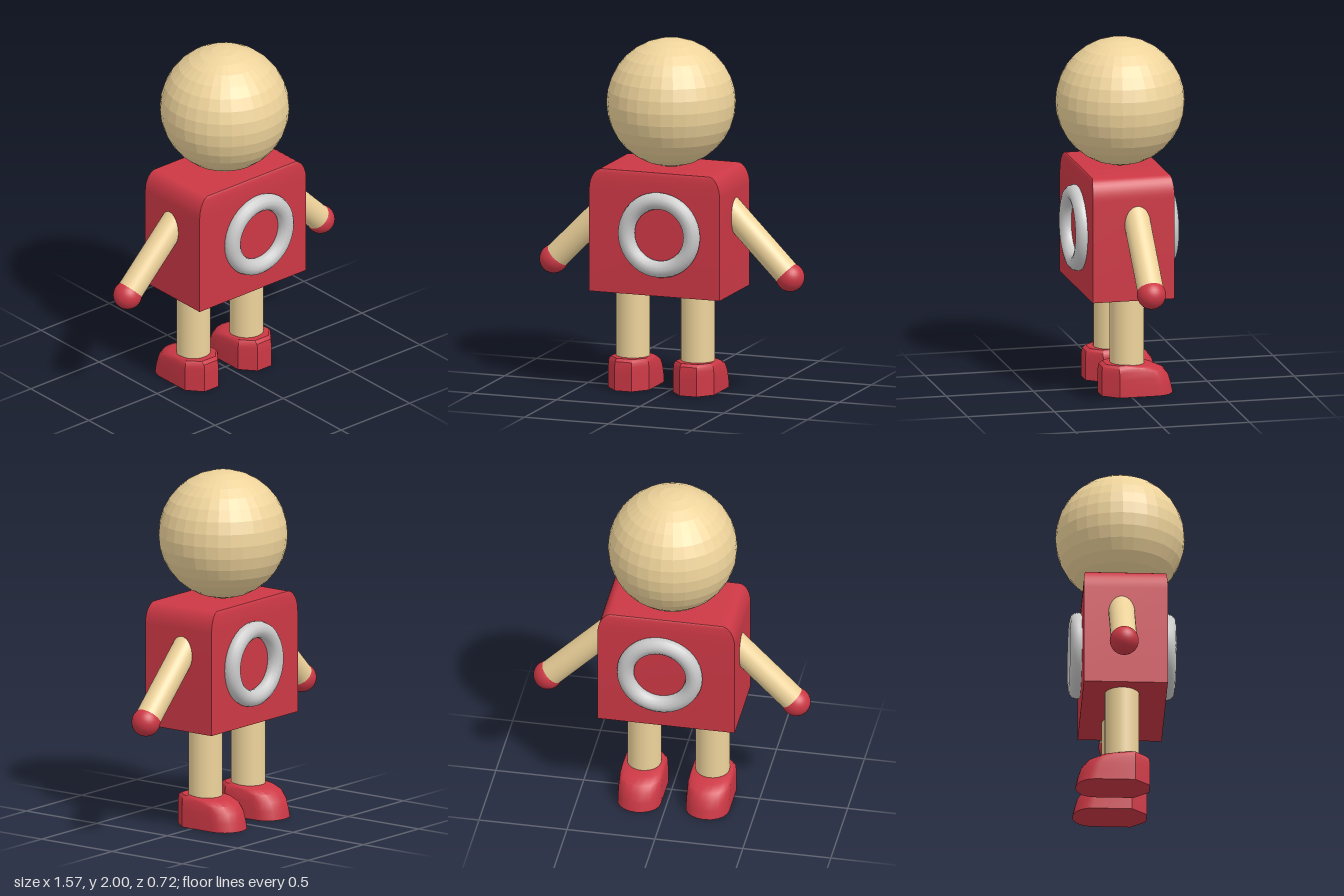
import * as THREE from 'three';
import { toCreasedNormals } from 'three/addons/utils/BufferGeometryUtils.js';

const tan = new THREE.MeshStandardMaterial({ color: 0xeed39b });
const tanFlat = new THREE.MeshStandardMaterial({ color: 0xeed39b, flatShading: true });
const red = new THREE.MeshStandardMaterial({ color: 0xcc3845 });
const grey = new THREE.MeshStandardMaterial({ color: 0xcccccc });

function add(parent, name, geometry, material, x = 0, y = 0, z = 0) {
  const mesh = new THREE.Mesh(geometry, material);
  mesh.name = name;
  mesh.position.set(x, y, z);
  parent.add(mesh);
  return mesh;
}

// Closed solid from rings of [x, z] points stacked from bottom to top
function loft(rings, crease) {
  const n = rings[0].points.length, pos = [], index = [];
  for (const { y, points } of rings) for (const [x, z] of points) pos.push(x, y, z);
  for (let i = 0; i < rings.length - 1; i++) {
    for (let j = 0; j < n; j++) {
      const a = i * n + j, b = i * n + (j + 1) % n;
      index.push(a, a + n, b, b, a + n, b + n);
    }
  }
  const last = (rings.length - 1) * n;
  for (let j = 1; j < n - 1; j++) {
    index.push(0, j, j + 1);
    index.push(last, last + j + 1, last + j);
  }
  const g = new THREE.BufferGeometry();
  g.setAttribute('position', new THREE.Float32BufferAttribute(pos, 3));
  g.setIndex(index);
  return toCreasedNormals(g, crease);
}

// Box torso whose top corners round over
function torsoGeometry() {
  const ring = (y, dx, dz) => {
    const x0 = -0.4 + dx, x1 = 0.38 - dx, z0 = -0.22 + dz, z1 = 0.25 - dz;
    return { y, points: [[x1, z0], [x1, z1], [x0, z1], [x0, z0]] };
  };
  const rings = [ring(0.58, 0, 0)];
  for (let i = 0; i <= 8; i++) {
    const t = (i / 8) * Math.PI / 2;
    rings.push(ring(1.16 + 0.12 * Math.sin(t), 0.07 * (1 - Math.cos(t)), 0.015 * (1 - Math.cos(t))));
  }
  return loft(rings, 0.6);
}

// Shoe with an angular heel (+z) and a rounded, sloping toe (-z)
function shoeGeometry() {
  const levels = [ // y, half width, heel z, toe z
    [0, 0.123, 0.155, -0.26], [0.05, 0.123, 0.155, -0.25], [0.1, 0.122, 0.155, -0.235],
    [0.14, 0.121, 0.155, -0.205], [0.165, 0.117, 0.15, -0.15], [0.18, 0.105, 0.13, -0.06],
  ];
  return loft(levels.map(([y, w, heel, toe]) => {
    const points = [[w, 0.07], [0.05, heel], [-0.05, heel], [-w, 0.07]];
    for (let i = 0; i <= 10; i++) {
      const t = (i / 10) * Math.PI;
      points.push([-w * Math.cos(t), toe + 0.11 * (1 - Math.sin(t))]);
    }
    return { y, points };
  }), 0.6);
}

export function createModel() {
  const model = new THREE.Group();
  model.name = 'toyFigure';

  add(model, 'head', new THREE.SphereGeometry(0.362, 32, 16), tanFlat, -0.005, 1.64, 0);
  add(model, 'torso', torsoGeometry(), red);

  // Rings on the chest and back
  const ring = new THREE.TorusGeometry(0.195, 0.048, 12, 40);
  add(model, 'chestRing', ring, grey, 0.023, 0.932, 0.262);
  add(model, 'backRing', ring, grey, 0.023, 0.932, -0.238);

  const shoe = shoeGeometry();
  for (const [side, s] of [['left', 1], ['right', -1]]) {
    // Arm slanting out of the torso, with a ball hand
    const hand = new THREE.Vector3(s > 0 ? 0.703 : -0.709, 0.69, -0.008);
    const shoulder = new THREE.Vector3(hand.x - s * 0.46, 1.155, -0.008);
    const along = shoulder.clone().sub(hand);
    const arm = add(model, side + 'Arm',
      new THREE.CylinderGeometry(0.074, 0.074, along.length(), 32), tan);
    arm.position.copy(hand).add(shoulder).multiplyScalar(0.5);
    arm.quaternion.setFromUnitVectors(new THREE.Vector3(0, 1, 0), along.normalize());
    add(model, side + 'Hand', new THREE.SphereGeometry(0.081, 32, 16), red, hand.x, hand.y, hand.z);

    // Leg and shoe
    const legX = s > 0 ? 0.155 : -0.233;
    add(model, side + 'Leg', new THREE.CylinderGeometry(0.096, 0.096, 0.48, 32), tan, legX, 0.37, 0);
    add(model, side + 'Shoe', shoe, red, legX, 0, 0);
  }
  return model;
}
